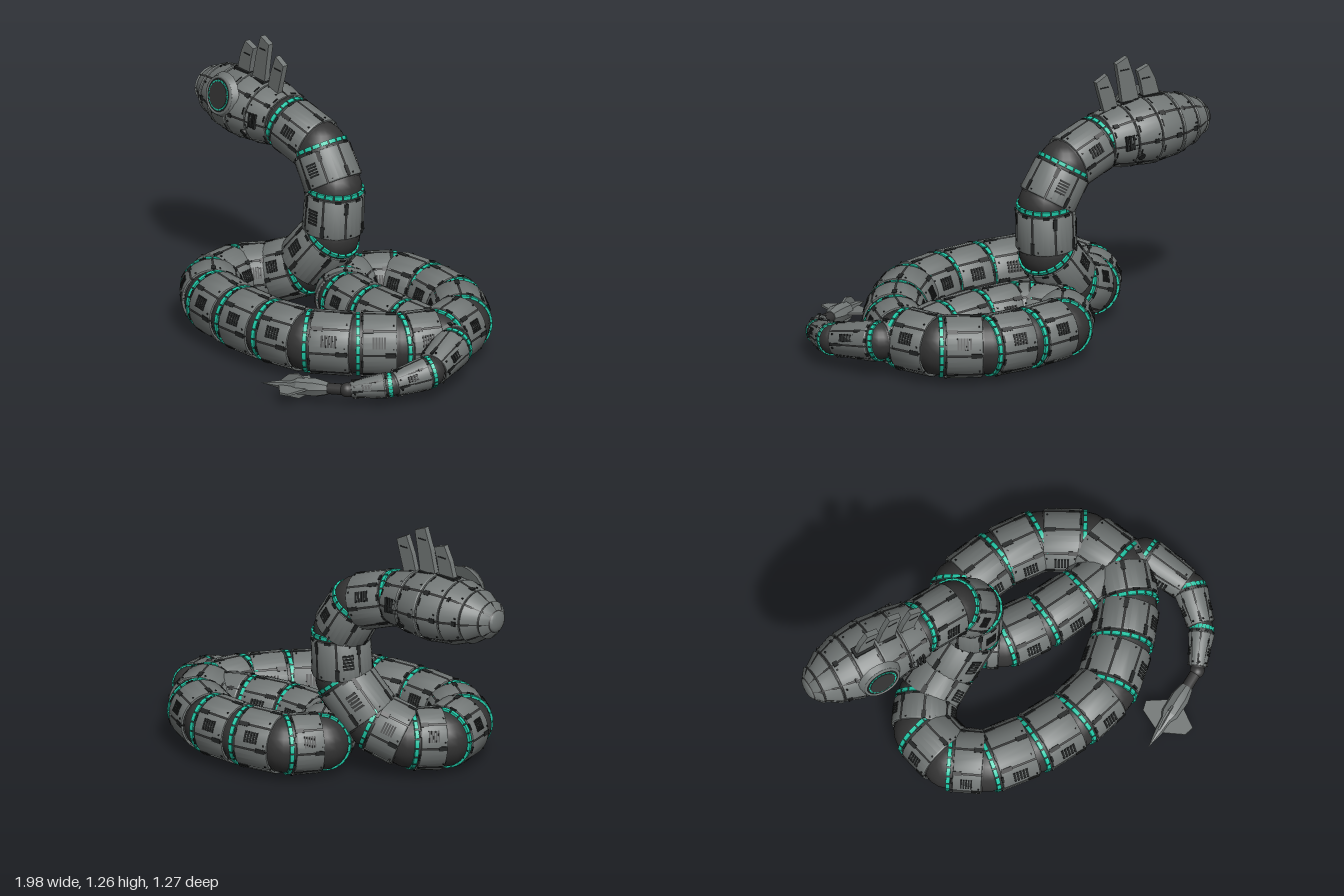
import * as THREE from 'three';
import { mergeGeometries, toCreasedNormals } from 'three/addons/utils/BufferGeometryUtils.js';

const mat = (name, color, side = THREE.FrontSide) => {
  const m = new THREE.MeshStandardMaterial({ color, side });
  m.name = name;
  return m;
};
const V = (a) => new THREE.Vector3(a[0], a[1], a[2]);

export function createModel() {
  const armour = mat('armour grey', 0x717675, THREE.DoubleSide);
  const joint = mat('joint charcoal', 0x343434);
  const trim = mat('trim black', 0x222424);
  const teal = mat('glow teal', 0x1fc7a6, THREE.DoubleSide);

  const root = new THREE.Group();
  root.name = 'mechanicalSnake';

  const add = (parent, name, geo, material, pos = [0, 0, 0]) => {
    const m = new THREE.Mesh(geo, material);
    m.name = name;
    m.position.set(...pos);
    parent.add(m);
    return m;
  };
  // group at a whose local z axis points to b
  const aim = (name, a, b) => {
    const g = new THREE.Group();
    g.name = name;
    g.position.copy(V(a));
    g.lookAt(V(b));
    root.add(g);
    return g;
  };
  // part of a lathe turned about local z; angle 0 points down
  const arc = (pts, start, length, steps) =>
    new THREE.LatheGeometry(pts.map((p) => new THREE.Vector2(p[0], p[1])), steps, start, length).rotateX(Math.PI / 2);
  // small box lying on the surface at an angle
  const plate = (w, t, l, phi, r, z) =>
    new THREE.BoxGeometry(w, t, l).translate(0, r, z).rotateZ(phi + Math.PI);

  // shell of eight curved plates between two radii
  const shell = (r0, r1, z0, z1) => {
    const b = Math.min(0.008, (z1 - z0) * 0.1), parts = [];
    const pts = [[r0 * 0.9, z0], [r0, z0 + 0.002], [r0 + 0.003, z0 + b], [r1 + 0.003, z1 - b], [r1, z1 - 0.002], [r1 * 0.9, z1]];
    const gap = 0.045;
    for (let k = 0; k < 8; k++) {
      parts.push(arc(pts, (k * Math.PI) / 4 + gap / 2, Math.PI / 4 - gap, 4));
    }
    return toCreasedNormals(mergeGeometries(parts), 0.5);
  };
  // stepped seams, edge clips and slots in dark trim
  const details = (r0, r1, L, vents) => {
    const parts = [], at = (t) => r0 + (r1 - r0) * t + 0.001;
    for (let k = 0; k < 8; k++) {
      const phi = (k * Math.PI) / 4;
      const t = k % 2 ? 0.24 : 0.76;
      parts.push(plate(r0 * 0.15, 0.007, L * 0.24, phi, at(t), L * t));
      parts.push(plate(r0 * 0.22, 0.007, L * 0.05, phi + 0.3, at(0.1), L * 0.1));
      parts.push(plate(0.007, 0.008, 0.007, phi - 0.2, at(0.83) + 0.002, L * 0.83));
    }
    if (vents) {
      for (const phi of [112.5, 247.5]) for (let i = 0; i < 5; i++) {
        parts.push(plate(r0 * 0.38, 0.007, L * 0.045, (phi * Math.PI) / 180, at(0.5), L * (0.36 + i * 0.068)));
      }
    }
    return mergeGeometries(parts);
  };
  // dashed glowing ring
  const dashes = (r, half = 0.01) => {
    const parts = [], n = 20, w = (Math.PI * 2) / n;
    for (let i = 0; i < n; i++) {
      parts.push(arc([[r * 0.86, -half], [r, -half * 0.9], [r, half * 0.9], [r * 0.86, half]], i * w, w * 0.88, 2));
    }
    return toCreasedNormals(mergeGeometries(parts), 0.5);
  };

  // body nodes from neck to tail: x, y, z, radius
  const nodes = [
    [-0.41, 0.885, -0.145, 0.128], [-0.205, 0.82, -0.175, 0.13], [-0.1, 0.655, -0.178, 0.134],
    [-0.11, 0.43, -0.172, 0.137], [-0.26, 0.24, -0.13, 0.14], [-0.41, 0.17, -0.06, 0.142],
    [-0.5, 0.16, 0.07, 0.144], [-0.46, 0.16, 0.25, 0.145], [-0.32, 0.16, 0.345, 0.145],
    [-0.1, 0.16, 0.37, 0.145], [0.12, 0.16, 0.355, 0.145], [0.325, 0.16, 0.3, 0.145],
    [0.49, 0.16, 0.145, 0.145], [0.61, 0.16, -0.01, 0.143], [0.67, 0.16, -0.18, 0.142],
    [0.59, 0.16, -0.37, 0.142], [0.41, 0.16, -0.475, 0.141], [0.2, 0.16, -0.488, 0.14],
    [-0.01, 0.158, -0.455, 0.139], [-0.11, 0.155, -0.32, 0.137], [-0.03, 0.155, -0.18, 0.137],
    [0.03, 0.155, -0.14, 0.136], [0.23, 0.155, -0.13, 0.135], [0.45, 0.155, -0.155, 0.13],
    [0.64, 0.165, -0.195, 0.112], [0.79, 0.165, -0.17, 0.092], [0.9, 0.13, 0.05, 0.075],
    [0.855, 0.1, 0.24, 0.057], [0.74, 0.078, 0.4, 0.036],
  ];
  nodes.forEach((a, i) => {
    add(root, 'jointBall', new THREE.SphereGeometry(a[3] * 0.93, 20, 12), joint, a.slice(0, 3));
    const b = nodes[i + 1];
    if (!b) return;
    const g = aim('bodySegment', a, b), L = V(a).distanceTo(V(b));
    const r0 = a[3], r1 = b[3];
    add(g, 'segmentCore', arc([[r0 * 0.95, L * 0.04], [r1 * 0.95, L * 0.94]], 0, Math.PI * 2, 24), joint);
    add(g, 'armourShell', shell(r0, r1, Math.min(0.02, L * 0.12), L * 0.91), armour);
    add(g, 'seamsAndVents', details(r0, r1, L, L > 0.12), trim);
    add(g, 'glowRing', dashes(r0 * 0.995), teal);
  });

  // head: banded shells around a dark core
  const head = aim('head', [-0.41, 0.89, -0.145], [-1, 0.905, -0.125]);
  head.scale.y = 0.9;
  const bands = [[0, 0.135], [0.12, 0.158], [0.24, 0.172], [0.36, 0.163], [0.46, 0.134], [0.54, 0.093], [0.58, 0.058]];
  add(head, 'headCore', arc(bands.map(([z, r]) => [r * 0.96, z]), 0, Math.PI * 2, 24), joint);
  for (let i = 0; i + 1 < bands.length; i++) {
    const [z0, r0] = bands[i], [z1, r1] = bands[i + 1];
    add(head, 'headPlates', shell(r0, r1, z0 + 0.002, z1 - 0.002), armour);
    if (i < 4) add(head, 'headSeams', details(r0, r1, z1 - z0, false), trim, [0, 0, z0]);
  }
  add(head, 'noseCap', new THREE.SphereGeometry(0.056, 16, 8).scale(1, 1, 0.35), armour, [0, 0, 0.574]);
  // cheek grilles and round ports
  for (const side of [1, -1]) {
    const bars = [0, 1, 2, 3].map((i) => plate(0.075, 0.014, 0.011, side * 1.67, 0.15, 0.055 + i * 0.018));
    add(head, 'cheekGrille', mergeGeometries(bars), trim);
    const port = new THREE.CylinderGeometry(0.019, 0.019, 0.012, 14).translate(0, 0.162, 0.135).rotateZ(side * 1.1 + Math.PI);
    add(head, 'cheekPort', port, trim);
  }

  // single round eye on the left side
  const eye = aim('eye', [-0.69, 0.965, 0.017], [-0.7, 1.18, 1.02]);
  add(eye, 'eyeMount', new THREE.CylinderGeometry(0.09, 0.108, 0.03, 16).rotateX(Math.PI / 2), armour);
  add(eye, 'eyeRim', new THREE.TorusGeometry(0.084, 0.008, 6, 24), armour, [0, 0, 0.014]);
  add(eye, 'eyeLens', new THREE.CircleGeometry(0.078, 28), trim, [0, 0, 0.017]);
  add(eye, 'eyeRing', dashes(0.07, 0.004), teal, [0, 0, 0.016]);
  add(eye, 'eyeIris', new THREE.CylinderGeometry(0.063, 0.063, 0.006, 24).rotateX(Math.PI / 2), joint, [0, 0, 0.019]);

  // three swept crest fins
  const crest = [
    [[-0.745, 1.04], [-0.72, 1.13], [-0.685, 1.2], [-0.625, 1.18], [-0.642, 1.12], [-0.66, 1.03]],
    [[-0.635, 1.03], [-0.605, 1.16], [-0.57, 1.26], [-0.51, 1.235], [-0.525, 1.15], [-0.545, 1.02]],
    [[-0.525, 1.0], [-0.495, 1.11], [-0.46, 1.195], [-0.402, 1.165], [-0.42, 1.1], [-0.455, 0.98]],
  ];
  crest.forEach((p) => {
    const s = new THREE.Shape(p.map((q) => new THREE.Vector2(...q)));
    add(root, 'crestFin', new THREE.ExtrudeGeometry(s, { depth: 0.026, bevelEnabled: false }), armour, [0, 0, -0.14]);
    const x = (p[0][0] + p[5][0]) / 2;
    add(root, 'finSocket', new THREE.BoxGeometry(0.1, 0.05, 0.05), trim, [x, p[0][1] - 0.008, -0.127]);
    add(root, 'finSlot', new THREE.BoxGeometry(0.045, 0.006, 0.03), trim, [(p[2][0] + p[3][0]) / 2 - 0.015, p[2][1] - 0.06, -0.127]);
  });

  // tail dart with four blades
  const tail = aim('tailTip', [0.74, 0.078, 0.4], [0.37, 0.045, 0.605]);
  add(tail, 'tailStem', arc([[0.026, 0], [0.026, 0.12]], 0, Math.PI * 2, 12), joint);
  add(tail, 'tailDart', toCreasedNormals(arc([[0, 0.09], [0.03, 0.09], [0.044, 0.15], [0.042, 0.24], [0.026, 0.27], [0.02, 0.33], [0, 0.425]], 0, Math.PI * 2, 8), 0.4), armour);
  for (let k = 0; k < 4; k++) {
    const w = k % 2 ? 0.06 : 0.125;
    const blade = new THREE.Shape([[0.02, 0.17], [w, 0.24], [w * 0.9, 0.285], [0.02, 0.33]].map((q) => new THREE.Vector2(...q)));
    const g = new THREE.ExtrudeGeometry(blade, { depth: 0.01, bevelEnabled: false })
      .translate(0, 0, -0.005).rotateX(Math.PI / 2).rotateZ((k * Math.PI) / 2);
    add(tail, 'tailBlade', g, armour);
  }
  return root;
}
